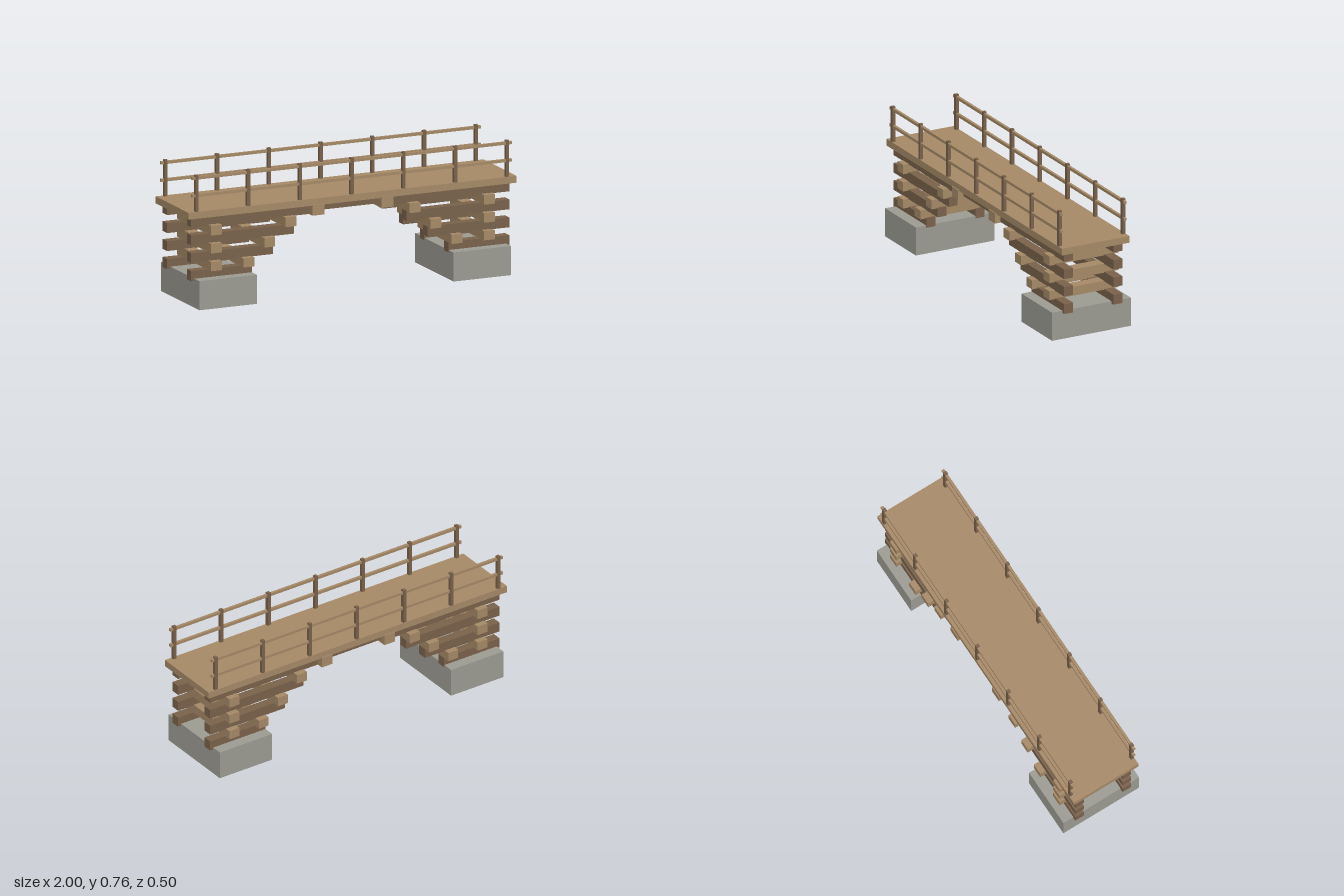
import * as THREE from 'three';

const mat = (name, color) => {
  const m = new THREE.MeshStandardMaterial({ color });
  m.name = name;
  return m;
};

export function createModel() {
  const lightWood = mat('lightWood', 0xa98c69);
  const darkWood = mat('darkWood', 0x7c644c);
  const stone = mat('stone', 0x9f9e95);
  const bridge = new THREE.Group();
  bridge.name = 'timberBridge';

  // Box given by its extents along each axis
  const box = (name, material, [x0, x1], [y0, y1], [z0, z1]) => {
    const mesh = new THREE.Mesh(new THREE.BoxGeometry(x1 - x0, y1 - y0, z1 - z0), material);
    mesh.position.set((x0 + x1) / 2, (y0 + y1) / 2, (z0 + z1) / 2);
    mesh.name = name;
    bridge.add(mesh);
  };
  const flip = (s, a, b) => (s > 0 ? [a, b] : [-b, -a]);

  // Stacked stringers: inner end, bottom, top
  const stringers = [[0.598, 0.152, 0.21], [0.47, 0.255, 0.311], [0.343, 0.357, 0.413], [0.24, 0.459, 0.511]];
  // Cross beams: inner edges, bottom, top
  const crossBeams = [
    [[0.602, 0.799], 0.206, 0.258],
    [[0.474, 0.799], 0.306, 0.36],
    [[0.345, 0.799], 0.408, 0.463],
    [[0.174], 0.456, 0.517],
  ];

  for (const s of [1, -1]) {
    box('abutment', stone, flip(s, 0.6, 0.95), [0, 0.165], [-0.248, 0.248]);
    box('endDeck', lightWood, flip(s, 0.246, 1), [0.511, 0.55], [-0.212, 0.212]);
    for (const [inner, y0, y1] of stringers)
      for (const t of [1, -1])
        box('stringer', darkWood, flip(s, inner, 0.97), [y0, y1], flip(t, 0.127, 0.183));
    for (const [xs, y0, y1] of crossBeams)
      for (const x of xs)
        box('crossBeam', lightWood, flip(s, x, x + (xs.length > 1 ? 0.066 : 0.072)), [y0, y1], [-0.218, 0.218]);
  }

  // Middle span
  box('middleDeck', lightWood, [-0.246, 0.246], [0.511, 0.55], [-0.212, 0.212]);
  for (const t of [1, -1])
    box('middleStringer', darkWood, [-0.2, 0.2], [0.475, 0.511], flip(t, 0.127, 0.183));

  // Railings
  for (const t of [1, -1]) {
    for (let i = -3; i <= 3; i++) {
      const x = i * 0.3157;
      box('railPost', darkWood, [x - 0.01, x + 0.01], [0.55, 0.757], flip(t, 0.19, 0.21));
    }
    for (const y of [0.641, 0.74])
      box('handRail', lightWood, [-0.975, 0.975], [y - 0.008, y + 0.008], flip(t, 0.192, 0.208));
  }
  return bridge;
}
